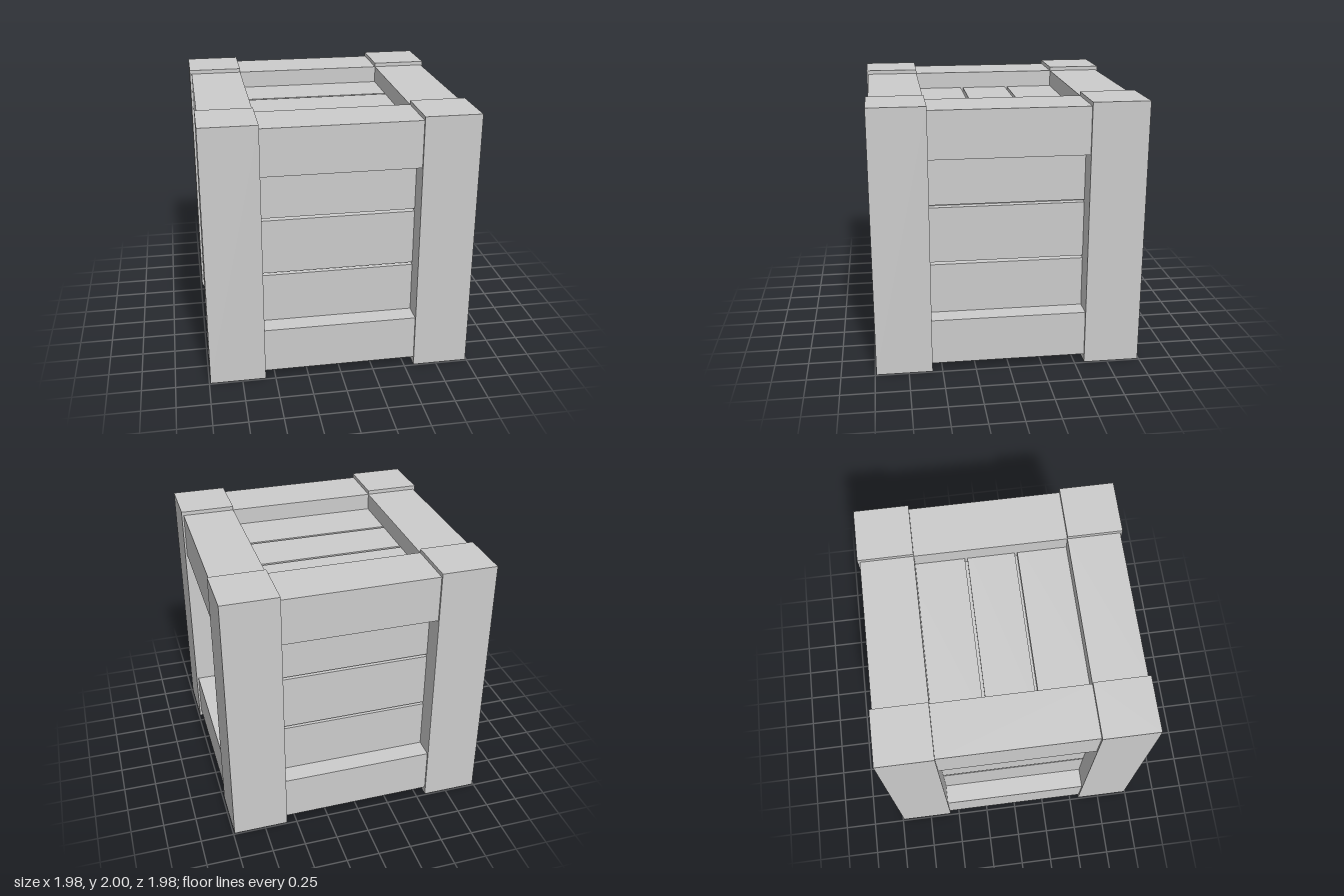
import * as THREE from 'three';

const MID = 1.015;            // height of the crate's centre between the rails
const INNER = 0.575;          // inner edge of posts and rails
const POST = 0.99, RAIL = 0.975;
const FACE = 0.825;           // distance of the planked faces from the centre
const GAP = 0.02, DEPTH = 0.05;

const material = new THREE.MeshStandardMaterial({ color: 0xcccccc, flatShading: true });

// Box given by its lower and upper corners
function box(name, [x0, y0, z0], [x1, y1, z1]) {
  const mesh = new THREE.Mesh(new THREE.BoxGeometry(x1 - x0, y1 - y0, z1 - z0), material);
  mesh.position.set((x0 + x1) / 2, (y0 + y1) / 2, (z0 + z1) / 2);
  mesh.name = name;
  return mesh;
}

// Three planks side by side, facing +z, with two narrow grooves
function plankPanel(name, lowGap, highGap) {
  const panel = new THREE.Group();
  panel.name = name;
  const half = GAP / 2, end = 0.7;
  const strips = [[-end, lowGap - half], [lowGap + half, highGap - half], [highGap + half, end]];
  for (const [a, b] of strips) {
    panel.add(box('plank', [-0.7, a, FACE - DEPTH], [0.7, b, FACE]));
  }
  return panel;
}

export function createModel() {
  const crate = new THREE.Group();
  crate.name = 'crate';

  // Square corner posts
  for (const sx of [-1, 1]) for (const sz of [-1, 1]) {
    const post = box('cornerPost', [INNER, 0, INNER], [POST, 2, POST]);
    post.position.x *= sx;
    post.position.z *= sz;
    crate.add(post);
  }

  // Each side: a top rail, a bottom rail and a recessed plank panel
  ['front', 'left', 'back', 'right'].forEach((side, i) => {
    const group = new THREE.Group();
    group.name = side + 'Side';
    group.add(box('bottomRail', [-INNER, 0.06, INNER], [INNER, 0.405, RAIL]));
    group.add(box('topRail', [-INNER, 1.62, INNER], [INNER, 1.97, RAIL]));
    const panel = plankPanel('sidePanel', 0.795 - MID, 1.235 - MID);
    panel.position.y = MID;
    group.add(panel);
    group.rotation.y = i * Math.PI / 2;
    crate.add(group);
  });

  // Lid and floor planks run along x
  for (const [name, turn] of [['lid', -1], ['floor', 1]]) {
    const panel = plankPanel(name, -0.19, 0.19);
    panel.rotation.x = turn * Math.PI / 2;
    panel.position.y = MID;
    crate.add(panel);
  }

  // Solid core closing the bottoms of the grooves
  const c = FACE - DEPTH;
  crate.add(box('core', [-c, MID - c, -c], [c, MID + c, c]));

  return crate;
}
